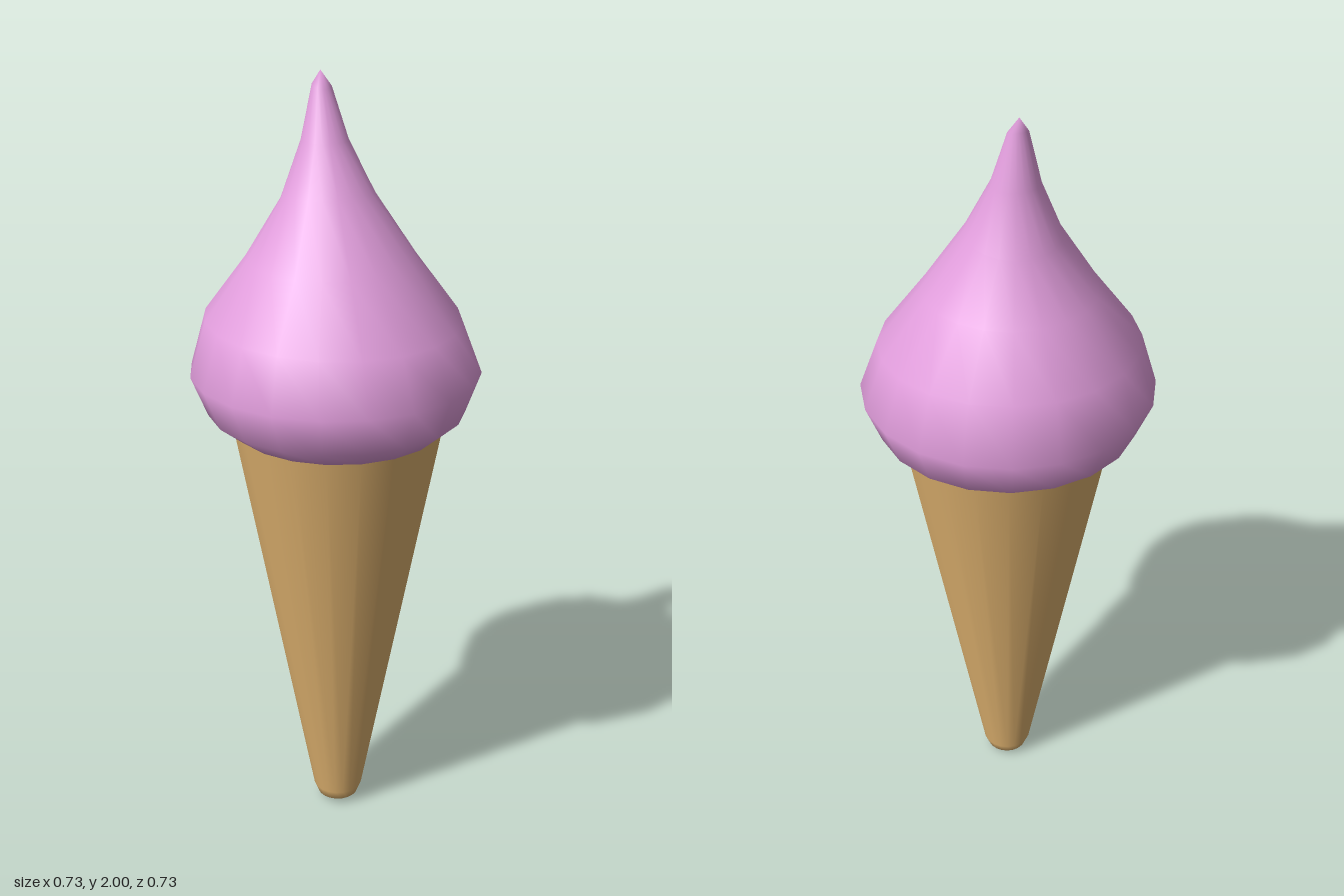
import * as THREE from 'three';
import { mergeVertices } from 'three/addons/utils/BufferGeometryUtils.js';

const SIDES = 20;

// Lathe whose rings [radius, y, centreZ, tilt] may shift and tilt towards the back
function bentLathe(rings) {
  const points = rings.map(([r, y]) => new THREE.Vector2(r, y));
  let geo = new THREE.LatheGeometry(points, SIDES);
  const pos = geo.attributes.position;
  for (let i = 0; i < pos.count; i++) {
    const [r, , centreZ, tilt = 0] = rings[i % rings.length];
    const z = pos.getZ(i);
    if (r > 0) pos.setY(i, pos.getY(i) - (tilt * z) / r);
    pos.setZ(i, z + centreZ);
  }
  // Weld the seam so the shading stays smooth all round
  geo.deleteAttribute('uv');
  geo.deleteAttribute('normal');
  geo = mergeVertices(geo, 1e-5);
  geo.computeVertexNormals();
  return geo;
}

export function createModel() {
  const model = new THREE.Group();
  model.name = 'iceCreamCone';
  const wafer = new THREE.MeshStandardMaterial({ color: 0xdfb26f });
  wafer.name = 'wafer';
  const pink = new THREE.MeshStandardMaterial({ color: 0xe29edd });
  pink.name = 'pinkCream';

  // Tapered wafer with a rounded foot
  const cone = new THREE.Mesh(bentLathe([
    [0, 0, 0.013],
    [0.035, 0.005, 0.013],
    [0.055, 0.017, 0.013],
    [0.066, 0.045, 0.013],
    [0.267, 1.14, 0.013],
  ]), wafer);
  cone.name = 'cone';

  // Soft swirl, its tip leaning backwards
  const cream = new THREE.Mesh(bentLathe([
    [0, 1.135, 0.013],
    [0.268, 1.135, 0.013],
    [0.326, 1.18, 0.005],
    [0.365, 1.28, 0],
    [0.32, 1.415, -0.01, 0.012],
    [0.212, 1.56, -0.018],
    [0.115, 1.71, -0.036, -0.014],
    [0.058, 1.84, -0.05],
    [0.024, 1.965, -0.064, 0.006],
    [0, 2, -0.071],
  ]), pink);
  cream.name = 'creamSwirl';

  model.add(cone, cream);
  return model;
}
